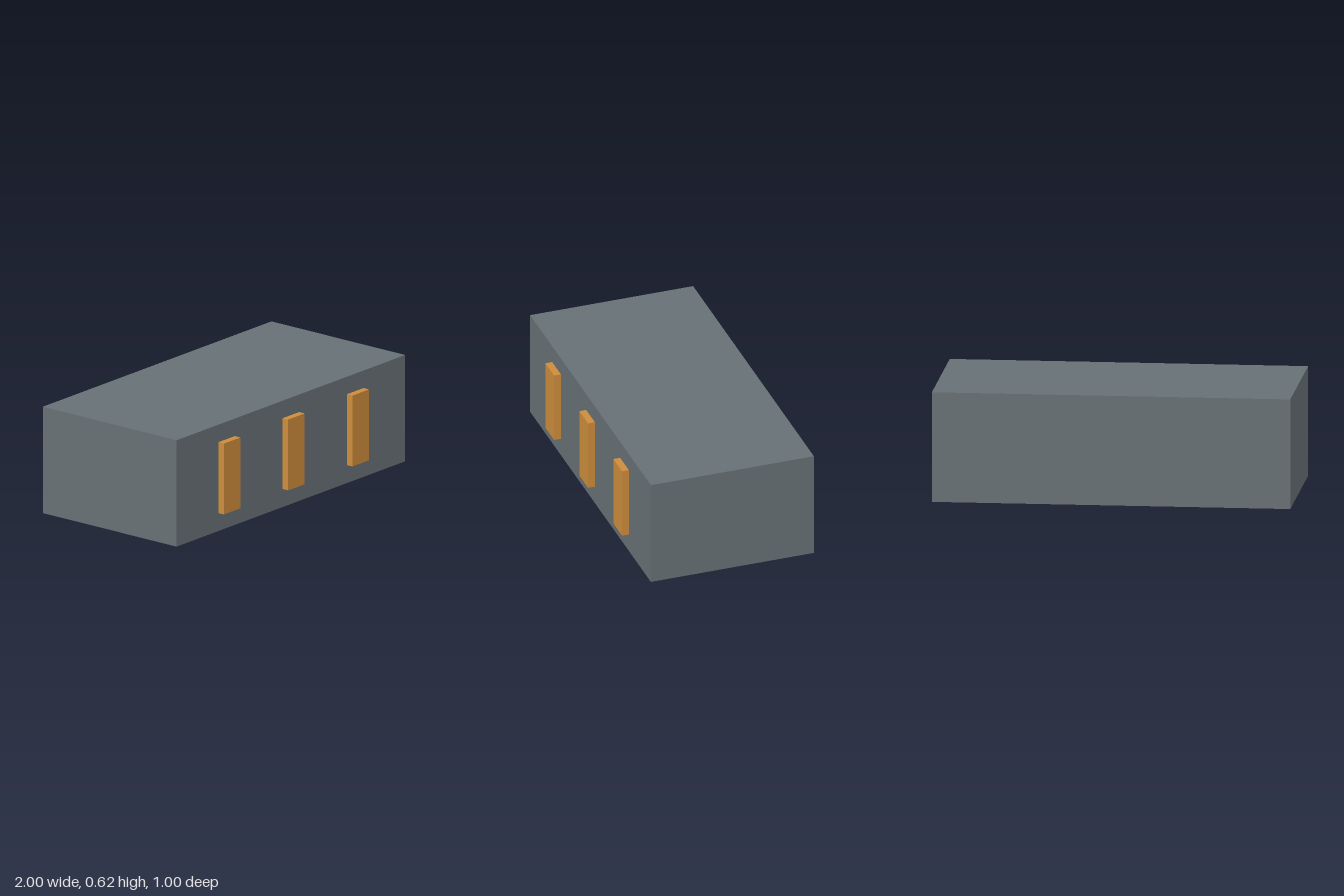
import * as THREE from 'three';

const HEIGHT = 0.62;
const BACK = -0.5, FACE = 0.46, FRONT = 0.5;

function box(name, material, [x0, x1], [y0, y1], [z0, z1]) {
  const mesh = new THREE.Mesh(new THREE.BoxGeometry(x1 - x0, y1 - y0, z1 - z0), material);
  mesh.position.set((x0 + x1) / 2, (y0 + y1) / 2, (z0 + z1) / 2);
  mesh.name = name;
  return mesh;
}

export function createModel() {
  const group = new THREE.Group();
  group.name = 'block';
  const slate = new THREE.MeshStandardMaterial({ color: 0x677075 });
  const amber = new THREE.MeshStandardMaterial({ color: 0xcd8c3c });

  // Solid main body
  group.add(box('body', slate, [-1, 1], [0, HEIGHT], [BACK, FACE]));

  // Three upright panels standing proud of the front face
  const names = ['rightPanel', 'middlePanel', 'leftPanel'];
  const halfWidth = 0.0725;
  names.forEach((name, i) => {
    const x = (i - 1) * 0.5625;
    group.add(box(name, amber, [x - halfWidth, x + halfWidth], [0.105, 0.518], [FACE, FRONT]));
  });

  return group;
}
